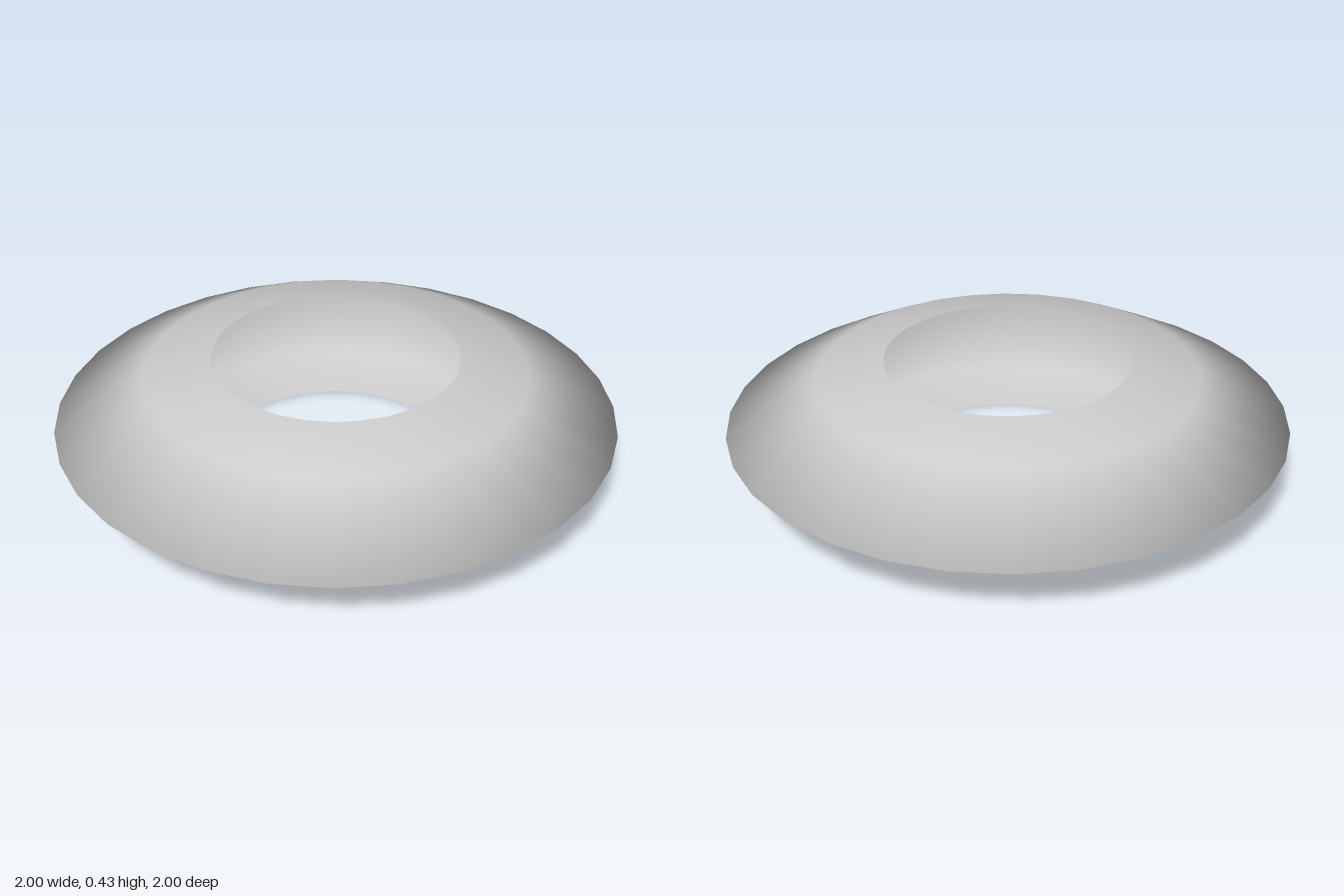
import * as THREE from 'three';

export function createModel() {
  const group = new THREE.Group();
  group.name = 'openRing';

  // Half profile from the lower opening, over the sharp rim, to the upper opening
  const profile = [
    [0.44, 0], [0.68, 0.053], [1, 0.215], [0.68, 0.377], [0.44, 0.43],
  ].map(([r, y]) => new THREE.Vector2(r, y));

  // Thin hollow shell, open at the top and bottom
  const shell = new THREE.Mesh(
    new THREE.LatheGeometry(profile, 32),
    new THREE.MeshStandardMaterial({ color: 0xcccccc, side: THREE.DoubleSide })
  );
  shell.name = 'shell';
  group.add(shell);

  return group;
}
